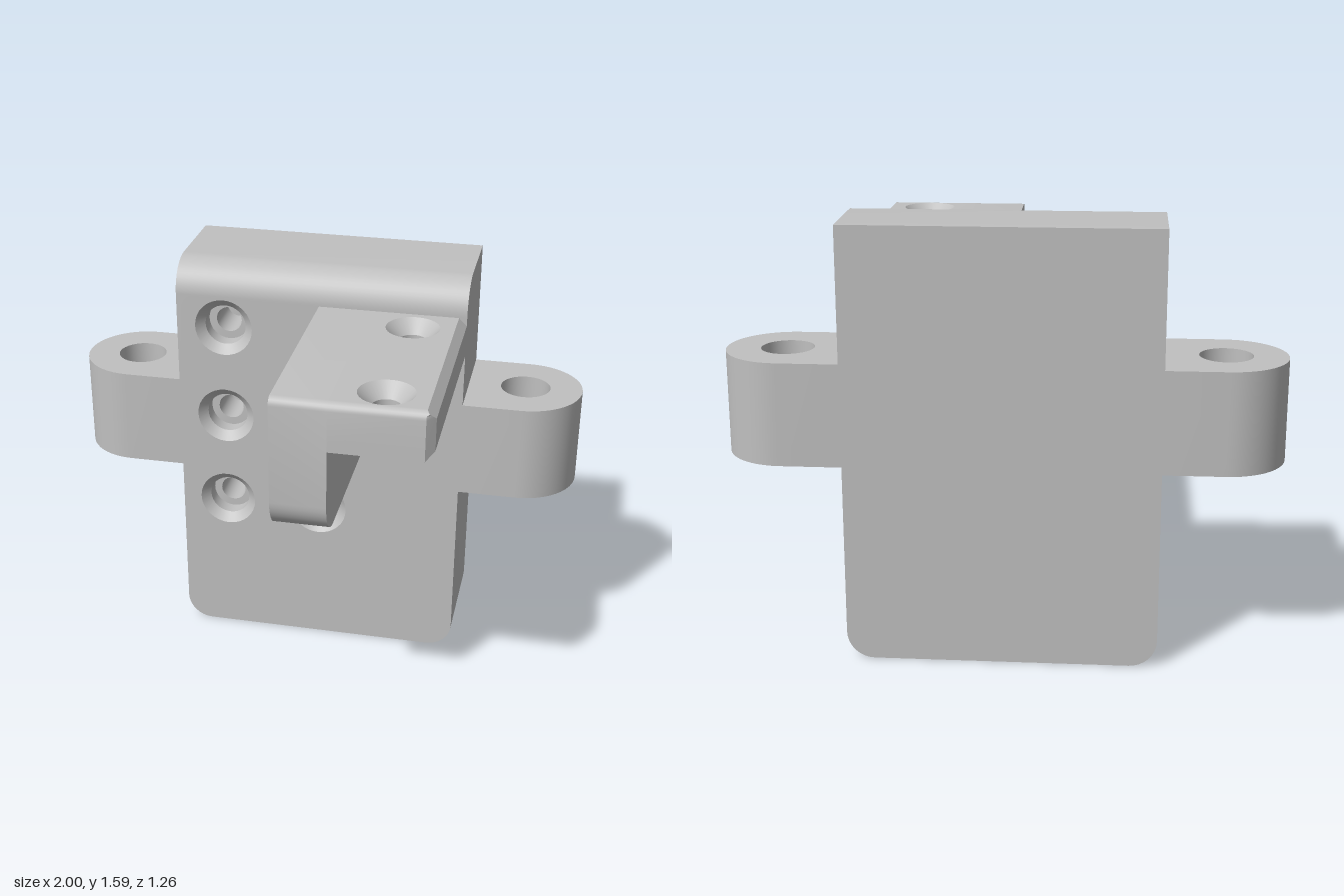
import * as THREE from 'three';
import { toCreasedNormals } from 'three/addons/utils/BufferGeometryUtils.js';

const grey = new THREE.MeshStandardMaterial({ color: 0xc0c0c0 });
grey.name = 'plain grey';

// Points along an arc, both ends included
function arc(cx, cy, r, from, to, n = 8) {
  return Array.from({ length: n + 1 }, (_, i) => {
    const t = from + ((to - from) * i) / n;
    return [cx + r * Math.cos(t), cy + r * Math.sin(t)];
  });
}

const vectors = (pts) => pts.map(([x, y]) => new THREE.Vector2(x, y));

// Solid through counter-clockwise rings { w, pts } stacked along z.
// Each hole { x, y, profile } is turned from [radius, w] points running inwards
// from the top; through holes also open the bottom.
function solid(rings, holes = []) {
  const pos = [];
  const add = (g) => pos.push(...g.toNonIndexed().attributes.position.array);

  // Side walls
  for (let i = 0; i < rings.length - 1; i++) {
    const lo = rings[i], hi = rings[i + 1], n = lo.pts.length;
    for (let j = 0; j < n; j++) {
      const k = (j + 1) % n;
      const a = [...lo.pts[j], lo.w], b = [...lo.pts[k], lo.w];
      const c = [...hi.pts[k], hi.w], d = [...hi.pts[j], hi.w];
      pos.push(...a, ...b, ...c, ...a, ...c, ...d);
    }
  }

  // End caps
  const cap = (ring, bottom) => {
    const shape = new THREE.Shape(vectors(ring.pts));
    for (const { x, y, profile } of holes) {
      const [r] = bottom ? profile[profile.length - 1] : profile[0];
      if (r > 0) shape.holes.push(new THREE.Path(vectors(arc(x, y, r, 0, 2 * Math.PI, 32).slice(0, -1))));
    }
    const g = new THREE.ShapeGeometry(shape);
    if (bottom) g.index.array.reverse();
    add(g.translate(0, 0, ring.w));
  };
  cap(rings[0], true);
  cap(rings[rings.length - 1], false);

  // Bores
  for (const { x, y, profile } of holes) {
    add(new THREE.LatheGeometry(vectors(profile), 32).rotateX(Math.PI / 2).translate(x, y, 0));
  }

  const g = new THREE.BufferGeometry();
  g.setAttribute('position', new THREE.Float32BufferAttribute(pos, 3));
  // Enlarged while creasing so that close vertices stay distinct
  g.scale(100, 100, 100);
  return toCreasedNormals(g, 0.5).scale(0.01, 0.01, 0.01);
}

export function createModel() {
  const model = new THREE.Group();
  const add = (name, geometry) => {
    const mesh = new THREE.Mesh(geometry, grey);
    mesh.name = name;
    model.add(mesh);
  };
  const PI = Math.PI, back = -0.63, front = -0.19;

  // Upright plate: rounded lower corners, rounded top front edge, blind screw holes
  const outline = (h) => [
    ...arc(-0.46, 0.1, 0.1, PI, 1.5 * PI),
    ...arc(0.46, 0.1, 0.1, 1.5 * PI, 2 * PI),
    [0.56, h], [-0.56, h],
  ];
  const plateRings = [
    { w: back, pts: outline(1.59) },
    ...arc(front - 0.125, 1.465, 0.125, PI / 2, 0, 12).map(([z, h]) => ({ w: z, pts: outline(h) })),
  ];
  const screwProfile = [
    [0.113, front], [0.08, front - 0.033], [0.08, front - 0.09],
    [0.05, front - 0.09], [0.05, front - 0.25], [0, front - 0.25],
  ];
  const screws = [[-0.375, 1.34], [-0.375, 0.965], [-0.375, 0.59], [0, 0.59]];
  add('uprightPlate', solid(plateRings, screws.map(([x, y]) => ({ x, y, profile: screwProfile }))));

  // Side lugs with a vertical through hole
  for (const s of [1, -1]) {
    const pts = [
      ...arc(s * 0.78, 0.41, 0.22, -s * PI / 2, -s * PI / 2 + PI, 24),
      [s * 0.56, 0.41 + s * 0.22], [s * 0.56, 0.41 - s * 0.22],
    ];
    const bore = { x: s * 0.78, y: 0.41, profile: [[0.096, 1.105], [0.096, 0.73]] };
    const g = solid([{ w: 0.73, pts }, { w: 1.105, pts }], [bore]);
    add(s > 0 ? 'leftLug' : 'rightLug', g.rotateX(-PI / 2));
  }

  // Arm web: rounded nose and a sloped foot against the plate
  const web = [
    ...arc(-0.505, 1.065, 0.125, PI, 1.5 * PI, 10),
    [0.02, 0.94], [0.19, 0.86], [0.19, 1.46],
    ...arc(-0.6, 1.43, 0.03, PI / 2, PI, 6),
  ];
  add('armWeb', solid([{ w: 0, pts: web }, { w: 0.2, pts: web }]).rotateY(PI / 2));

  // Arm flange: chamfered outer edge, rounded top front edge, countersunk holes
  const flange = (w, x, z) => ({
    w,
    pts: [[0.2, -z], [0.53, -z], [x, -Math.min(z, 1.16 - x)], [x, 0.19], [0.2, 0.19]],
  });
  const flangeRings = [
    flange(1.28, 0.53, 0.63),
    flange(1.31, 0.56, 0.63),
    ...arc(0.6, 1.43, 0.03, 0, PI / 2, 6).map(([z, y]) => flange(y, 1.99 - y, z)),
  ];
  const sink = [[0.1, 1.46], [0.05, 1.41], [0.05, 1.28]];
  const flangeHoles = [0.065, -0.5].map((y) => ({ x: 0.377, y, profile: sink }));
  add('armFlange', solid(flangeRings, flangeHoles).rotateX(-PI / 2));

  return model;
}
